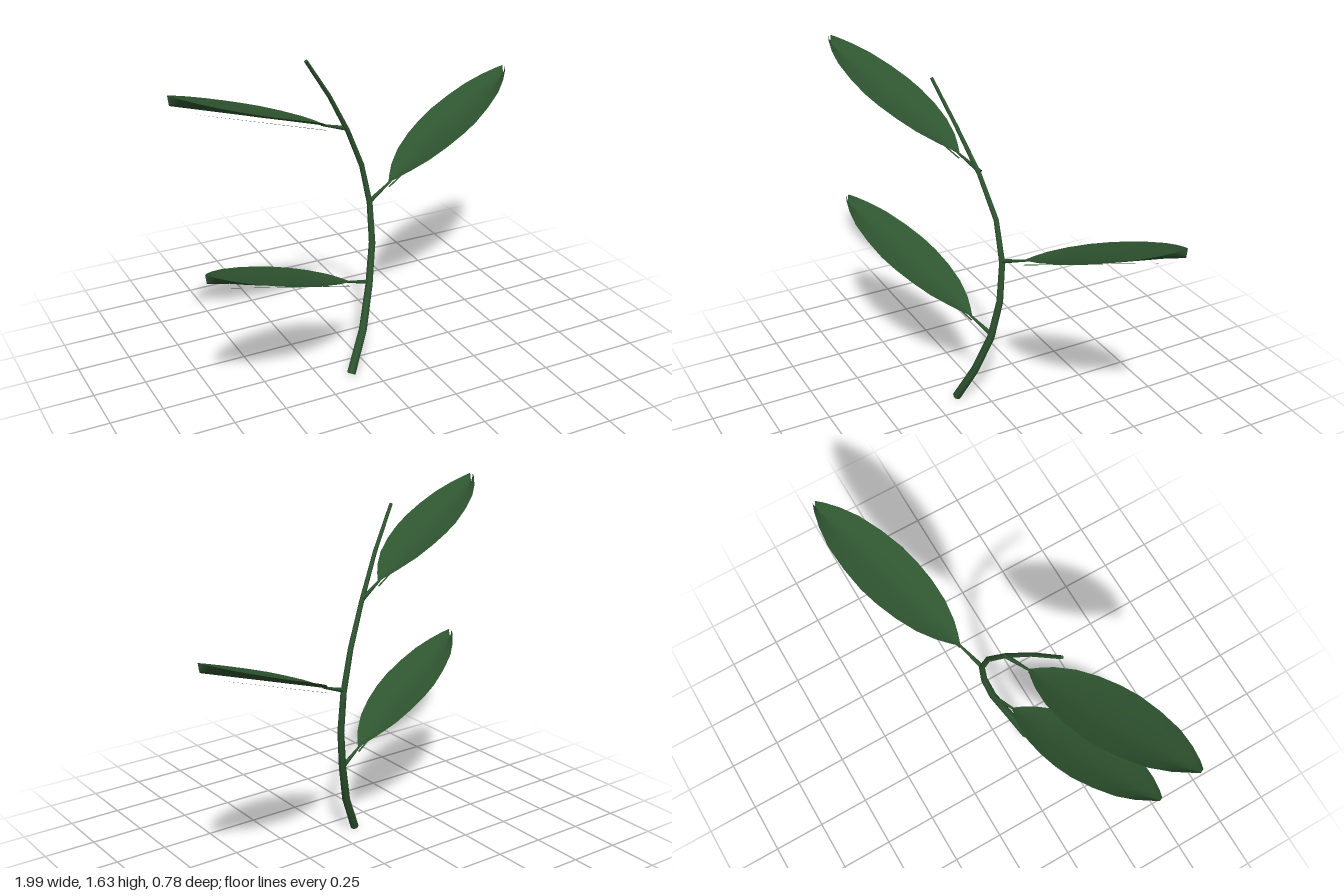
import * as THREE from 'three';

const leafGreen = new THREE.MeshStandardMaterial({ color: 0x2f5530, side: THREE.DoubleSide });
leafGreen.name = 'leaf green';

// Joins rows of points into a smooth surface; closed rows wrap around.
function loft(rows, closed) {
  const n = rows[0].length, index = [];
  for (let i = 0; i < rows.length - 1; i++) {
    for (let j = 0; j < (closed ? n : n - 1); j++) {
      const a = i * n + j, b = i * n + (j + 1) % n;
      index.push(a, a + n, b, b, a + n, b + n);
    }
  }
  const geometry = new THREE.BufferGeometry().setFromPoints(rows.flat());
  geometry.setIndex(index);
  geometry.computeVertexNormals();
  return geometry;
}

// Tapered round branch along a polyline, with flat end caps.
function branch(name, points, r0, r1, sides = 8) {
  const group = new THREE.Group();
  group.name = name;
  const last = points.length - 1;
  const rows = points.map((p, i) => {
    const t = points[Math.min(i + 1, last)].clone().sub(points[Math.max(i - 1, 0)]).normalize();
    const q = new THREE.Quaternion().setFromUnitVectors(new THREE.Vector3(0, 1, 0), t);
    const r = THREE.MathUtils.lerp(r0, r1, i / last);
    return Array.from({ length: sides }, (_, j) => {
      const a = j / sides * Math.PI * 2;
      return new THREE.Vector3(r * Math.cos(a), 0, r * Math.sin(a)).applyQuaternion(q).add(p);
    });
  });
  const copy = (row) => row.map((v) => v.clone());
  const centre = (p) => Array.from({ length: sides }, () => p.clone());
  const parts = [['Bark', rows], ['Base', [centre(points[0]), copy(rows[0])]],
    ['End', [copy(rows[last]), centre(points[last])]]];
  for (const [part, r] of parts) {
    const mesh = new THREE.Mesh(loft(r, true), leafGreen);
    mesh.name = name + part;
    group.add(mesh);
  }
  return group;
}

// Leaf outline: distance along the midrib, half width, lift of the edges
const outline = [
  [0, 0.004, 0.004], [0.035, 0.03, 0.012], [0.085, 0.062, 0.02], [0.17, 0.1, 0.026],
  [0.27, 0.125, 0.03], [0.37, 0.138, 0.031], [0.46, 0.14, 0.031], [0.57, 0.127, 0.032],
  [0.68, 0.102, 0.033], [0.76, 0.068, 0.035], [0.82, 0.032, 0.038], [0.85, 0.008, 0.04],
];
const slope = 0.325 / 0.85;
const base = new THREE.Vector3(0.13, 0.05, 0);

function leaf(name, node, yaw) {
  const group = new THREE.Group();
  group.name = name;

  // Cupped blade, raised towards both edges
  const rows = outline.map(([x, w, lift]) => [-1, -0.5, 0, 0.5, 1].map((k) =>
    new THREE.Vector3(base.x + x, base.y + x * slope + lift * Math.abs(k) ** 1.4, k * w)));
  const blade = new THREE.Mesh(loft(rows, false), leafGreen);
  blade.name = 'blade';

  // Thin vein running just below the blade
  const veinRows = [[0, 0.005], [0.72, 0.001]].map(([x, w]) => [-1, 1].map((k) =>
    new THREE.Vector3(base.x + x, base.y + x * slope - 0.022, k * w)));
  const vein = new THREE.Mesh(loft(veinRows, false), leafGreen);
  vein.name = 'vein';

  // Stalk joining the blade to the stem
  const tip = base.clone().add(new THREE.Vector3(0.03, 0.012, 0));
  group.add(blade, vein, branch('stalk', [new THREE.Vector3(), tip], 0.011, 0.004, 6));
  group.position.copy(node);
  group.rotation.y = yaw;
  return group;
}

export function createModel() {
  const model = new THREE.Group();
  model.name = 'leafySprig';

  // Curved main stem
  const path = [
    [-0.11, 0.009, 0.135], [-0.02, 0.2, 0.08], [0.04, 0.4, 0.025], [0.071, 0.6, -0.005],
    [0.065, 0.8, -0.02], [0.02, 1.0, -0.013], [-0.07, 1.2, 0.025], [-0.185, 1.4, 0.08],
    [-0.318, 1.596, 0.135],
  ].map((p) => new THREE.Vector3(...p));
  model.add(branch('stem', path, 0.021, 0.008));

  // Leaves alternate from side to side up the stem
  const yaw = 0.345;
  model.add(
    leaf('lowerLeaf', new THREE.Vector3(0.04, 0.41, 0.02), yaw + Math.PI),
    leaf('middleLeaf', new THREE.Vector3(0.068, 0.81, -0.02), yaw),
    leaf('upperLeaf', new THREE.Vector3(-0.072, 1.21, 0.02), yaw + Math.PI),
  );
  return model;
}
